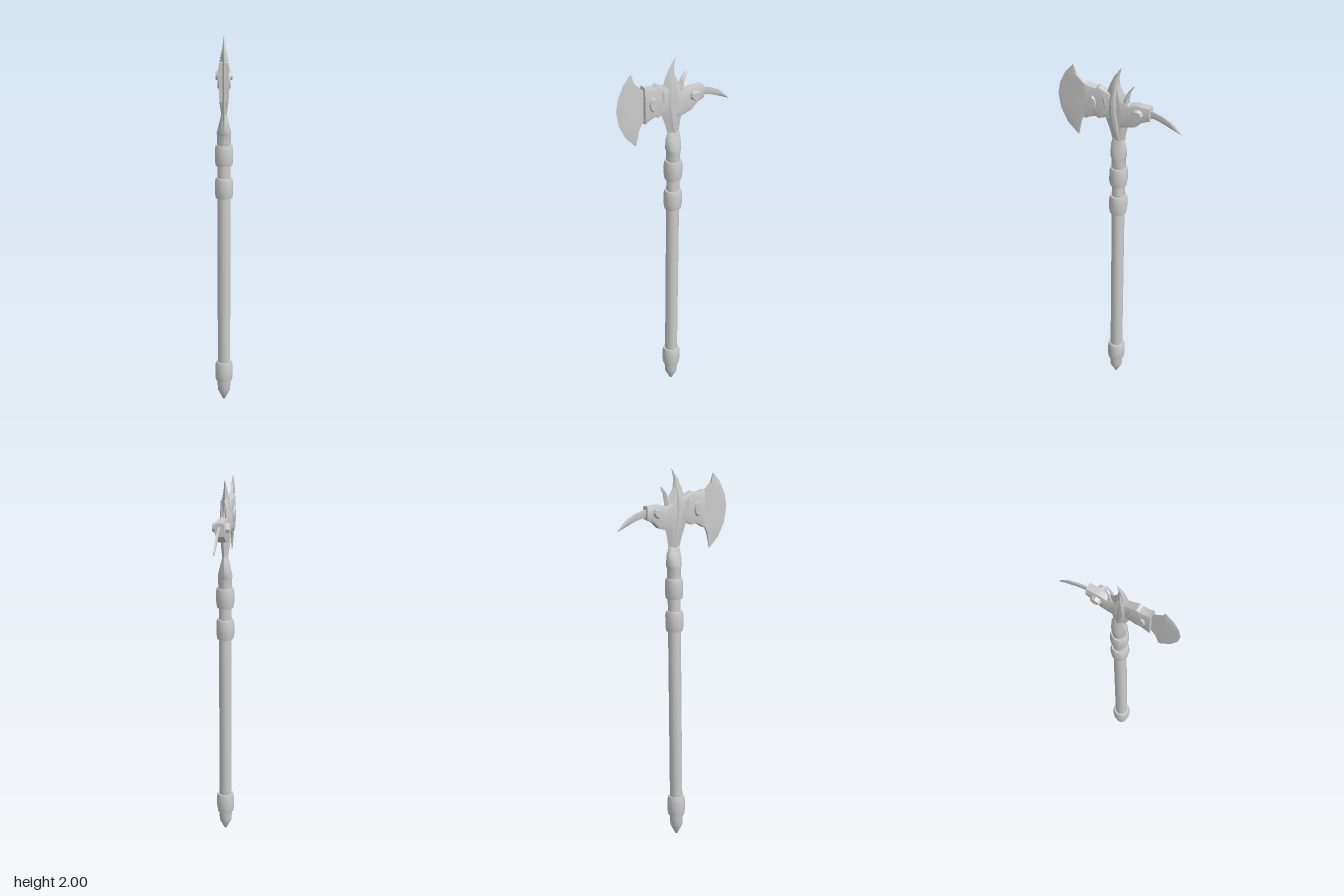
import * as THREE from 'three';
import { toCreasedNormals } from 'three/addons/utils/BufferGeometryUtils.js';

const material = new THREE.MeshStandardMaterial({ color: 0xcccccc });

function add(parent, name, geometry, crease = 0.6) {
  const mesh = new THREE.Mesh(toCreasedNormals(geometry, crease), material);
  mesh.name = name;
  parent.add(mesh);
  return mesh;
}

// Skin a list of equal-length rings of [x, y, z] points and cap both ends.
function loft(rings) {
  const n = rings[0].length;
  const points = rings.flat();
  const tris = [];
  for (let r = 0; r < rings.length - 1; r++) {
    for (let i = 0; i < n; i++) {
      const a = r * n + i, b = r * n + (i + 1) % n;
      tris.push([a, b, b + n], [a, b + n, a + n]);
    }
  }
  const last = (rings.length - 1) * n;
  for (let i = 1; i < n - 1; i++) {
    tris.push([0, i + 1, i], [last, last + i, last + i + 1]);
  }
  // A negative signed volume means the skin is inside out.
  const v = points.map((p) => new THREE.Vector3(...p));
  const volume = tris.reduce((s, [a, b, c]) => s + v[a].dot(v[b].clone().cross(v[c])), 0);
  if (volume < 0) tris.forEach((t) => t.reverse());
  const geometry = new THREE.BufferGeometry();
  geometry.setAttribute('position', new THREE.Float32BufferAttribute(points.flat(), 3));
  geometry.setIndex(tris.flat());
  return geometry.toNonIndexed();
}

// Horizontal diamond with blunt sides: front z, back z, half width, side offset.
const bladeRing = ([y, front, back, w, cx = 0]) => {
  const m1 = front + (back - front) * 0.35, m2 = front + (back - front) * 0.7;
  return [[cx, y, front], [cx + w, y, m1], [cx + w, y, m2],
    [cx, y, back], [cx - w, y, m2], [cx - w, y, m1]];
};

// Upright chamfered rectangle used along z: z, low y, high y, half width.
const blockRing = ([z, lo, hi, w]) => {
  const c = 0.018, k = w * 0.8;
  return [[k, lo, z], [w, lo + c, z], [w, hi - c, z], [k, hi, z],
    [-k, hi, z], [-w, hi - c, z], [-w, lo + c, z], [-k, lo, z]];
};

function buildHaft() {
  const haft = new THREE.Group();
  haft.name = 'haft';
  const lathe = (name, pts) => add(haft, name,
    new THREE.LatheGeometry(pts.map(([r, y]) => new THREE.Vector2(r, y)), 12));

  lathe('pommelTip', [[0, 0], [0.006, 0.003], [0.033, 0.055], [0.037, 0.125], [0, 0.125]]);
  lathe('shaft', [[0, 0.1], [0.034, 0.1], [0.034, 1.45], [0, 1.45]]);
  for (const [name, y] of [['pommelCollar', 0.115], ['lowerCollar', 1.15], ['upperCollar', 1.325]]) {
    lathe(name, [[0.033, y], [0.044, y], [0.048, y + 0.025], [0.048, y + 0.085],
      [0.043, y + 0.108], [0.033, y + 0.108]]);
  }
  // Slightly leaning haft
  haft.position.z = 0.022;
  haft.rotation.x = -0.0115;
  return haft;
}

function buildAxeBlade(parent) {
  // Cutting edge and inner edge, top to bottom, as [z, y]
  const outer = [[0.248, 1.97], [0.29, 1.92], [0.32, 1.855], [0.331, 1.79],
    [0.318, 1.71], [0.282, 1.635], [0.226, 1.576]];
  const inner = [[0.244, 1.967], [0.23, 1.92], [0.18, 1.87], [0.165, 1.79],
    [0.18, 1.71], [0.207, 1.66], [0.222, 1.58]];
  const rings = outer.map(([oz, oy], i) => {
    const [iz, iy] = inner[i];
    const mz = oz + (iz - oz) * 0.5, my = oy + (iy - oy) * 0.5;
    const w = i === 0 || i === 6 ? 0.002 : 0.0065;
    return [[0, oy, oz], [w, my, mz], [w, iy, iz], [-w, iy, iz], [-w, my, mz]];
  });
  add(parent, 'axeBlade', loft(rings), 0.25);
}

function buildBackSpike(parent) {
  // Curved pick: z, low y, high y
  const rows = [[-0.14, 1.755, 1.805], [-0.18, 1.757, 1.797], [-0.225, 1.743, 1.782],
    [-0.27, 1.723, 1.757], [-0.3, 1.71, 1.73], [-0.325, 1.698, 1.703]];
  const rings = rows.map(([z, lo, hi], i) => {
    const w = i === 5 ? 0.003 : 0.006, mid = (lo + hi) / 2;
    return [[0, lo, z], [w, mid, z], [w * 0.7, hi, z], [-w * 0.7, hi, z], [-w, mid, z]];
  });
  add(parent, 'backSpike', loft(rings), 0.5);
}

function buildHead() {
  const head = new THREE.Group();
  head.name = 'head';

  // Socket that flattens from a round base to a narrow neck
  const neck = [[1.42, 0.036, 0.036], [1.485, 0.037, 0.036], [1.5, 0.038, 0.043],
    [1.56, 0.023, 0.043], [1.6, 0.013, 0.032]].map(([y, rx, rz]) =>
    Array.from({ length: 12 }, (_, i) => {
      const a = (i / 12) * Math.PI * 2;
      return [Math.cos(a) * rx, y, 0.005 + Math.sin(a) * rz];
    }));
  add(head, 'neckSocket', loft(neck));

  // Central leaf ending in a swept top spike
  add(head, 'topSpike', loft([
    [1.58, 0.035, -0.027, 0.011], [1.65, 0.054, -0.037, 0.016], [1.71, 0.075, -0.052, 0.02],
    [1.78, 0.09, -0.057, 0.023], [1.85, 0.07, -0.035, 0.02], [1.9, 0.052, -0.005, 0.014],
    [1.95, 0.029, 0.001, 0.008], [2, -0.007, -0.01, 0.001],
  ].map(bladeRing)), 0.3);

  // Side plates, ear points and rear horns in mirrored pairs
  for (const s of [1, -1]) {
    const side = s > 0 ? 'left' : 'right';
    add(head, side + 'Plate', loft([
      [1.59, 0.015, -0.01, 0.004, s * 0.01], [1.66, 0.036, -0.005, 0.007, s * 0.016],
      [1.75, 0.052, 0.005, 0.008, s * 0.02], [1.83, 0.045, 0.012, 0.007, s * 0.022],
      [1.89, 0.028, 0.012, 0.004, s * 0.016], [1.94, 0.012, 0.008, 0.001, s * 0.008],
    ].map(bladeRing)), 0.3);
    add(head, side + 'Ear', loft([
      [1.72, 0.07, 0.04, 0.005, s * 0.014], [1.79, 0.085, 0.055, 0.006, s * 0.019],
      [1.85, 0.08, 0.076, 0.001, s * 0.027],
    ].map(bladeRing)), 0.3);
    add(head, side + 'Horn', loft([
      [1.77, -0.01, -0.05, 0.007, s * 0.013], [1.83, -0.026, -0.048, 0.006, s * 0.012],
      [1.875, -0.042, -0.056, 0.004, s * 0.01], [1.91, -0.07, -0.075, 0.001, s * 0.008],
    ].map(bladeRing)), 0.3);
  }

  // Flared blocks holding blade and spike
  add(head, 'bladeSocket', loft([
    [0.04, 1.73, 1.85, 0.022], [0.088, 1.715, 1.873, 0.024], [0.105, 1.708, 1.882, 0.024],
    [0.12, 1.717, 1.873, 0.024], [0.155, 1.705, 1.877, 0.024], [0.18, 1.69, 1.888, 0.024],
  ].map(blockRing)));
  add(head, 'spikeSocket', loft([
    [-0.01, 1.68, 1.83, 0.022], [-0.055, 1.69, 1.81, 0.024], [-0.09, 1.7, 1.822, 0.024],
    [-0.125, 1.733, 1.82, 0.024], [-0.165, 1.75, 1.818, 0.024],
  ].map(blockRing)));

  // Bosses through both blocks
  const boss = (name, r, halfX, y, z, stretch) => {
    const g = new THREE.LatheGeometry([[0, -halfX], [r * 0.8, -halfX], [r, -halfX * 0.75],
      [r, halfX * 0.75], [r * 0.8, halfX], [0, halfX]].map((p) => new THREE.Vector2(...p)), 8);
    g.rotateZ(Math.PI / 2).scale(1, stretch, 1).translate(0, y, z);
    add(head, name, g);
  };
  boss('bladeBoss', 0.021, 0.032, 1.79, 0.136, 2);
  boss('spikeBoss', 0.028, 0.044, 1.78, -0.106, 0.95);

  buildAxeBlade(head);
  buildBackSpike(head);
  return head;
}

export function createModel() {
  const model = new THREE.Group();
  model.name = 'battleAxe';
  model.add(buildHaft(), buildHead());
  return model;
}
